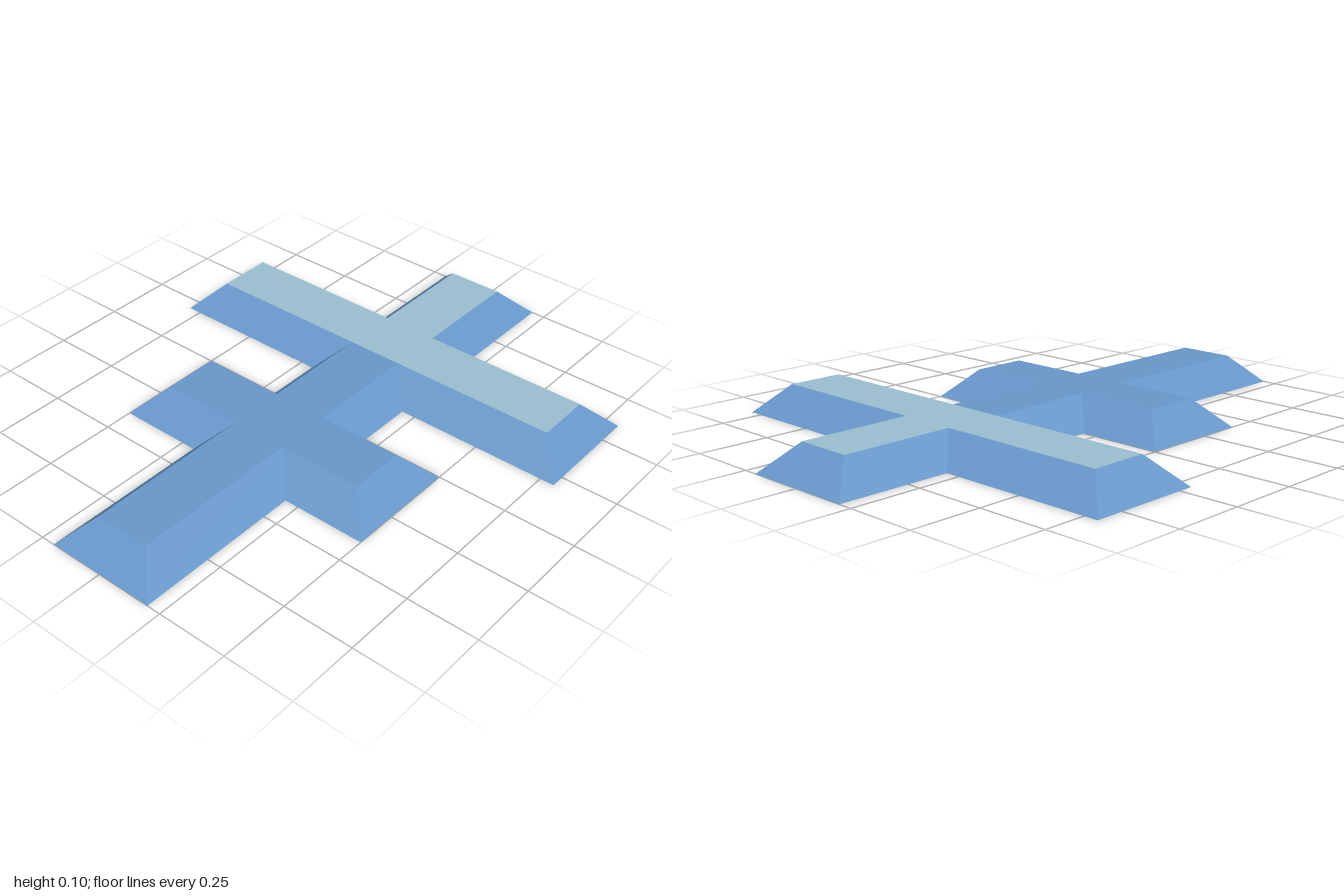
import * as THREE from 'three';

const HEIGHT = 0.1;
const BEVEL = 0.1;

// Right half of the footprint: [x, z, direction in which z moves when inset]
const HALF = [
  [0.2, -1, 1], [0.2, -0.6, 1], [0.8, -0.6, 1], [0.8, -0.2, -1], [0.2, -0.2, -1],
  [0.2, 0, 1], [0.5, 0, 1], [0.5, 0.4, -1], [0.2, 0.4, -1], [0.2, 1, -1],
];

// Close a half outline by mirroring it across x = 0
const mirror = (half) => [...half, ...half.map(([x, z]) => [-x, z]).reverse()];

// Flat horizontal plate at the top of the bevel
function topPlate(half, material, name) {
  const shape = new THREE.Shape(mirror(half).map(([x, z]) => new THREE.Vector2(x, -z)));
  const geometry = new THREE.ShapeGeometry(shape).rotateX(-Math.PI / 2).translate(0, HEIGHT, 0);
  const mesh = new THREE.Mesh(geometry, material);
  mesh.name = name;
  return mesh;
}

// Sloping walls from the footprint up to the inset outline
function slopes(lower, upper, material) {
  const positions = [];
  lower.forEach(([x, z], i) => {
    const j = (i + 1) % lower.length;
    const a = [x, 0, z];
    const b = [lower[j][0], 0, lower[j][1]];
    const ta = [upper[i][0], HEIGHT, upper[i][1]];
    const tb = [upper[j][0], HEIGHT, upper[j][1]];
    positions.push(...a, ...ta, ...b, ...b, ...ta, ...tb);
  });
  const geometry = new THREE.BufferGeometry();
  geometry.setAttribute('position', new THREE.Float32BufferAttribute(positions, 3));
  geometry.computeVertexNormals();
  const mesh = new THREE.Mesh(geometry, material);
  mesh.name = 'bevelledSides';
  return mesh;
}

export function createModel() {
  // The shell is open underneath, so both sides show
  const blue = new THREE.MeshStandardMaterial({ color: 0x6899cc, side: THREE.DoubleSide });
  blue.name = 'blue';
  const paleBlue = new THREE.MeshStandardMaterial({ color: 0x9bc0d2, side: THREE.DoubleSide });
  paleBlue.name = 'pale blue';

  const inset = HALF.map(([x, z, s]) => [x - BEVEL, z + s * BEVEL]);

  const model = new THREE.Group();
  model.name = 'doubleCross';
  model.add(
    slopes(mirror(HALF), mirror(inset), blue),
    topPlate(inset.slice(0, 5), paleBlue, 'wideCrossTop'),
    topPlate(inset.slice(4), blue, 'shaftAndSmallCrossTop'),
  );
  return model;
}
